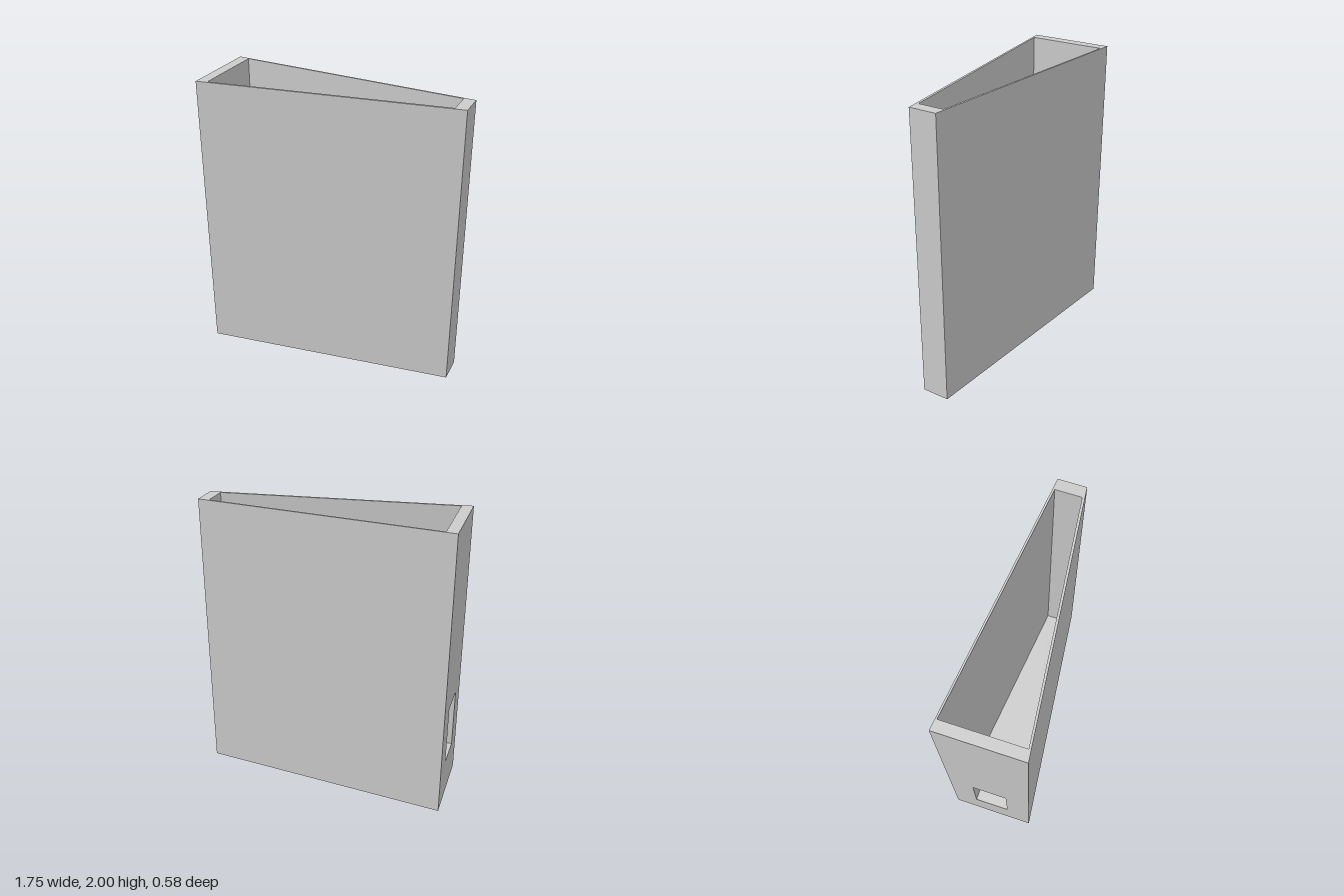
import * as THREE from 'three';

const material = new THREE.MeshStandardMaterial({ color: 0xcccccc, flatShading: true, side: THREE.DoubleSide });

const HEIGHT = 2;
const FLOOR = 0.07;
const WIDE = -0.875, WIDE_IN = -0.8, NARROW = 0.875, NARROW_IN = 0.797;

// z of the tapered outer faces at a given x
const frontZ = x => THREE.MathUtils.mapLinear(x, WIDE, NARROW, 0.287, 0.08);
const backZ = x => THREE.MathUtils.mapLinear(x, WIDE, NARROW, -0.29, -0.11);

// Upright prism from a plan outline of [x, z] points
function prism(name, plan, height) {
  const shape = new THREE.Shape(plan.map(([x, z]) => new THREE.Vector2(x, -z)));
  const geometry = new THREE.ExtrudeGeometry(shape, { depth: height, bevelEnabled: false });
  geometry.rotateX(-Math.PI / 2);
  const mesh = new THREE.Mesh(geometry, material);
  mesh.name = name;
  return mesh;
}

// Wide end panel with a rectangular window cut through it
function windowPanel() {
  const back = backZ(WIDE), front = frontZ(WIDE);
  const rect = (a, b, c, d) => [[a, b], [c, b], [c, d], [a, d]].map(p => new THREE.Vector2(...p));
  const shape = new THREE.Shape(rect(back, 0, front, HEIGHT));
  shape.holes.push(new THREE.Path(rect(-0.12, 0.295, 0.12, 0.72).reverse()));
  const geometry = new THREE.ExtrudeGeometry(shape, { depth: WIDE_IN - WIDE, bevelEnabled: false });
  geometry.rotateY(-Math.PI / 2).translate(WIDE_IN, 0, 0);

  // Taper the outer edges to follow the side faces
  const pos = geometry.attributes.position;
  for (let i = 0; i < pos.count; i++) {
    const x = pos.getX(i), z = pos.getZ(i);
    if (Math.abs(z) > 0.2) pos.setZ(i, z > 0 ? frontZ(x) : backZ(x));
  }
  geometry.computeVertexNormals();
  const mesh = new THREE.Mesh(geometry, material);
  mesh.name = 'windowEndWall';
  return mesh;
}

export function createModel() {
  const group = new THREE.Group();
  group.name = 'taperedBox';

  // Inner cavity corners, wide end to narrow end
  const cavity = [[WIDE_IN, 0.263], [NARROW_IN, 0.072], [NARROW_IN, -0.104], [WIDE_IN, -0.27]];

  // Front wall, narrow end and back wall in one U-shaped piece
  const walls = [
    [WIDE_IN, frontZ(WIDE_IN)], [NARROW, frontZ(NARROW)],
    [NARROW, backZ(NARROW)], [WIDE_IN, backZ(WIDE_IN)],
    ...cavity.slice().reverse(),
  ];

  group.add(prism('sideWalls', walls, HEIGHT), prism('floor', cavity, FLOOR), windowPanel());
  return group;
}
